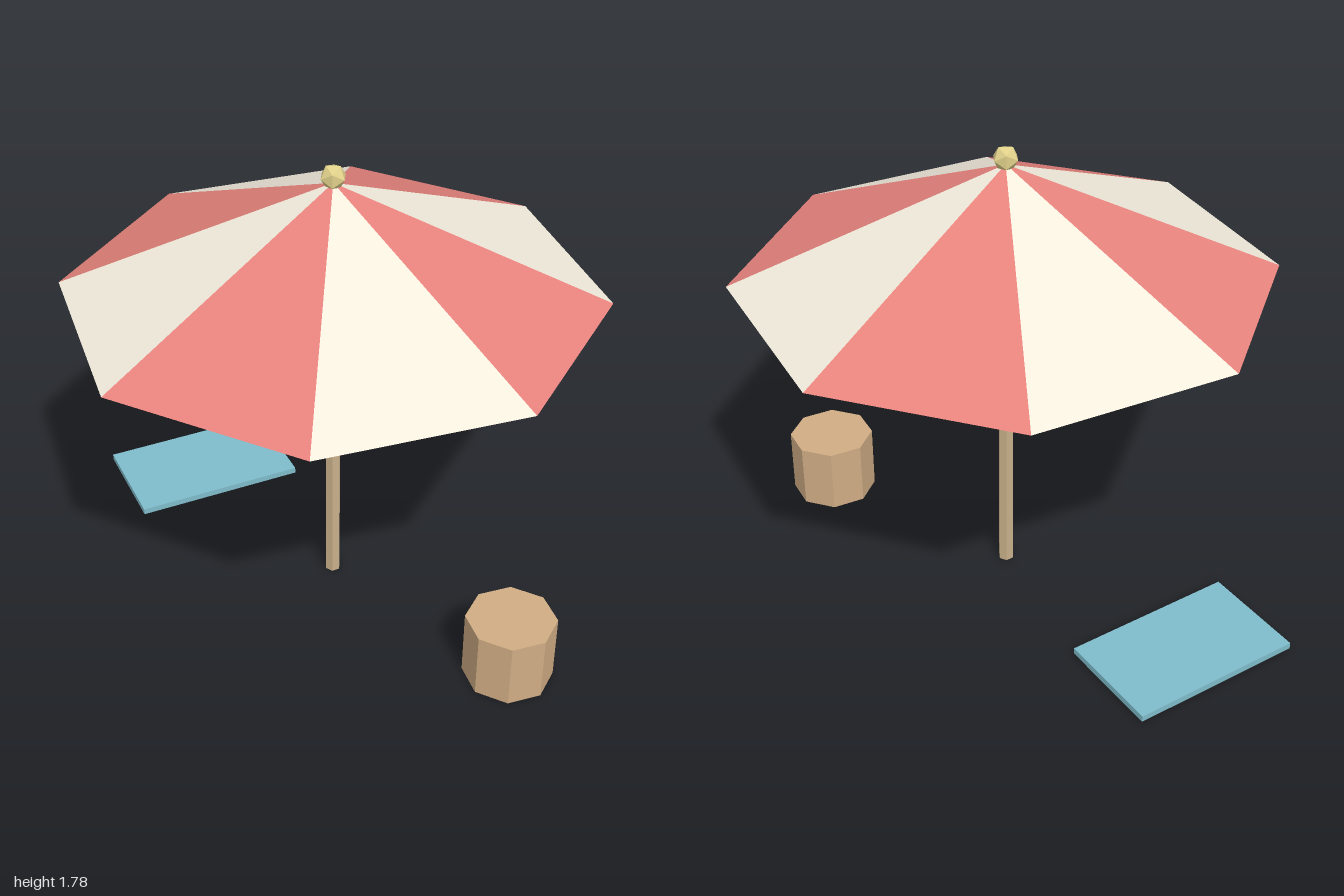
import * as THREE from 'three';

const CX = 0.005; // axis of the parasol

function add(parent, name, geometry, color, x, y, z) {
  const material = new THREE.MeshStandardMaterial({ color, flatShading: true });
  const mesh = new THREE.Mesh(geometry, material);
  mesh.name = name;
  mesh.position.set(x, y, z);
  parent.add(mesh);
  return mesh;
}

export function createModel() {
  const model = new THREE.Group();
  model.name = 'beachSet';

  // Hexagonal pole, running up inside the canopy
  add(model, 'pole', new THREE.CylinderGeometry(0.03, 0.03, 1.68, 6), 0xc8b08a, CX, 0.84, 0);

  // Canopy: eight flat panels in alternating colours, closed underneath
  const canopy = new THREE.Group();
  canopy.name = 'canopy';
  canopy.position.set(CX, 1.28, 0);
  model.add(canopy);
  const radius = 0.988, height = 0.437, step = Math.PI / 4;
  for (let i = 0; i < 8; i++) {
    const panel = new THREE.ConeGeometry(radius, height, 1, 1, true, i * step, step);
    add(canopy, 'canopyPanel', panel, i % 2 ? 0xe8837d : 0xf2ecdd, 0, height / 2, 0);
  }
  const underside = new THREE.CircleGeometry(radius, 8).rotateX(Math.PI / 2);
  add(canopy, 'canopyUnderside', underside, 0xcccccc, 0, 0, 0);

  // Faceted knob on the tip
  add(model, 'finial', new THREE.IcosahedronGeometry(0.048, 0), 0xe0d08a, CX, 1.74, 0);

  // Eight-sided stool at the front left
  add(model, 'stool', new THREE.CylinderGeometry(0.168, 0.168, 0.262, 8), 0xcfac84, 0.691, 0.131, 0.536);

  // Towel lying at the back right
  const towel = add(model, 'towel', new THREE.BoxGeometry(0.685, 0.025, 0.415), 0x7fbccb, -0.6, 0.0175, -0.607);
  towel.rotation.y = 0.5;

  return model;
}
